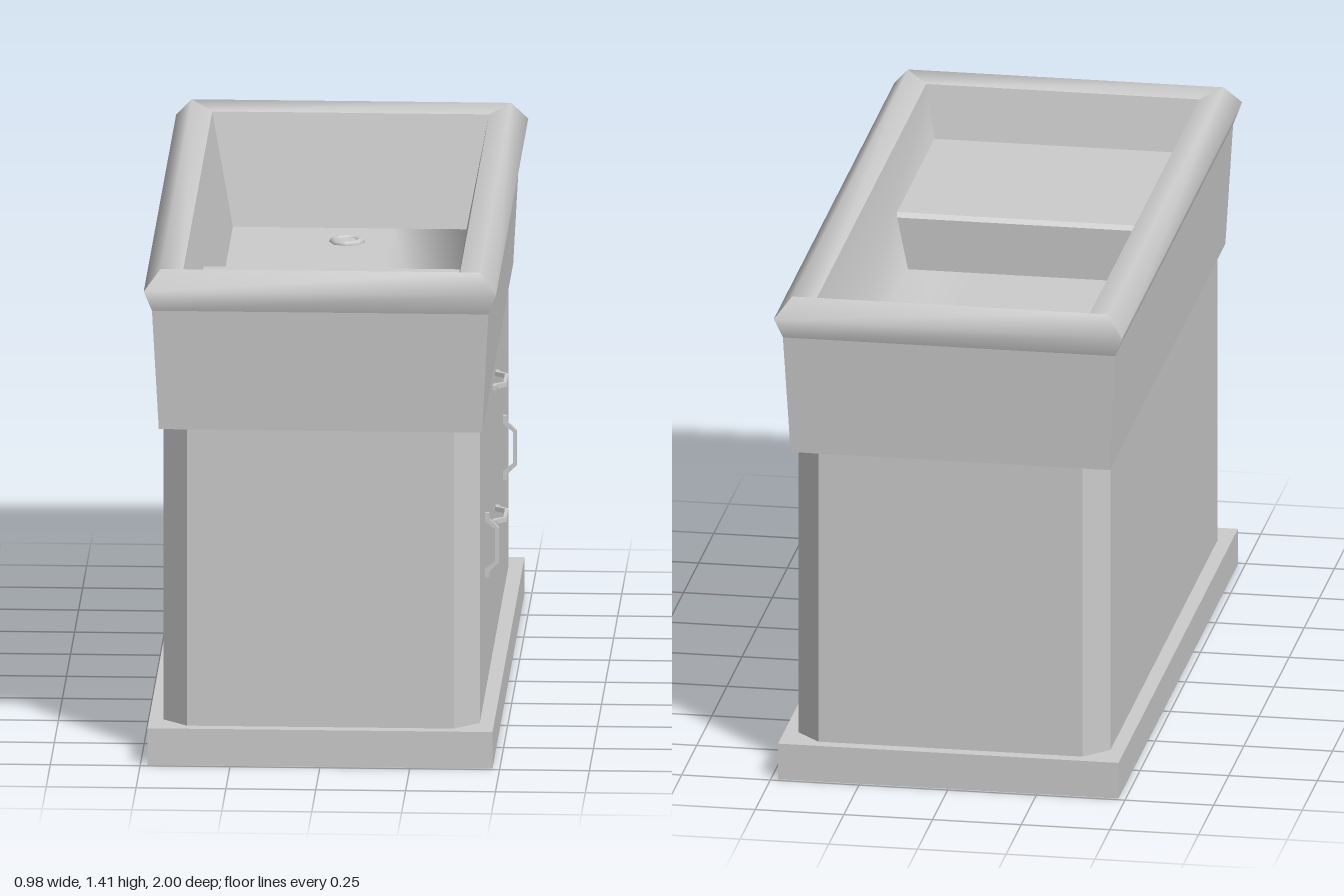
import * as THREE from 'three';
import { mergeGeometries } from 'three/addons/utils/BufferGeometryUtils.js';

const material = new THREE.MeshStandardMaterial({ color: 0xcccccc, side: THREE.DoubleSide });

// Smooth strip of quads between two polylines of [x, y, z] points
function strip(a, b) {
  const pos = [], index = [];
  a.forEach((p, i) => {
    pos.push(...p, ...b[i]);
    if (i) {
      const k = 2 * i - 2;
      index.push(k, k + 1, k + 3, k, k + 3, k + 2);
    }
  });
  const g = new THREE.BufferGeometry();
  g.setAttribute('position', new THREE.Float32BufferAttribute(pos, 3));
  g.setIndex(index);
  g.computeVertexNormals();
  return g;
}

// Mitred rectangular frame: profile of [halfX, halfZ, y], running up the outside and down the inside
const corners = [[-1, 1], [1, 1], [1, -1], [-1, -1]];
function frame(profile, sides = [0, 1, 2, 3]) {
  const line = ([sx, sz]) => profile.map(([x, z, y]) => [sx * x, y, sz * z]);
  return mergeGeometries(sides.map((i) => strip(line(corners[i]), line(corners[(i + 1) % 4]))));
}

export function createModel() {
  const model = new THREE.Group();
  const add = (name, geometry, parent = model) => {
    const mesh = new THREE.Mesh(geometry, material);
    mesh.name = name;
    parent.add(mesh);
    return mesh;
  };

  // Plinth, open underneath
  add('plinth', mergeGeometries([
    frame([[0.48, 0.99, 0], [0.48, 0.99, 0.105]]),
    frame([[0.48, 0.99, 0.105], [0, 0, 0.105]]),
  ]));

  // Cabinet with chamfered corners
  const X = 0.44, Z = 0.955, c = 0.068;
  const plan = new THREE.Shape([
    [X, Z - c], [X - c, Z], [c - X, Z], [-X, Z - c],
    [-X, c - Z], [c - X, -Z], [X - c, -Z], [X, c - Z],
  ].map(([x, z]) => new THREE.Vector2(x, z)));
  const body = new THREE.ExtrudeGeometry(plan, { depth: 0.85, bevelEnabled: false });
  body.rotateX(-Math.PI / 2);
  body.translate(0, 0.105, 0);
  add('cabinet', body);

  // Flared tub skirt with its underside
  add('tubSkirt', mergeGeometries([
    frame([[0, 0, 0.955], [0.45, 0.957, 0.955]]),
    frame([[0.45, 0.957, 0.955], [0.468, 0.98, 1.3]]),
  ]));

  // Rounded rim
  add('rim', frame([
    [0.468, 0.98, 1.3], [0.49, 1.0, 1.36], [0.445, 0.96, 1.415], [0.385, 0.905, 1.395],
  ]));

  // Basin: three crisp walls, the fourth blends into the floor
  const top = 1.395, floorY = 1.08;
  add('basinWalls', frame([[0.385, 0.905, top], [0.325, 0.845, floorY]], [0, 2, 3]));
  const section = [[0.385, top, 0.905], [0.325, floorY, 0.845], [0.12, floorY, 0.845], [-0.325, floorY, 0.845]];
  add('basinFloor', strip(section, section.map(([x, y, z]) => [x, y, -z])));

  // Raised seat at the front end, as wide as the sloping basin
  const seatY = 1.245;
  const seat = [[floorY, 0.252], [seatY - 0.012, 0.245], [seatY, 0.257], [seatY, 0.878]];
  const edge = (s) => ([y, z]) => [s * (0.325 + 0.06 * (y - floorY) / (top - floorY)), y, z];
  add('seat', mergeGeometries([0, 1, 2].map((i) => {
    const pair = seat.slice(i, i + 2);
    return strip(pair.map(edge(1)), pair.map(edge(-1)));
  })));

  // Drain
  const drain = new THREE.Group();
  drain.name = 'drain';
  drain.position.set(0, floorY, -0.69);
  const ring = new THREE.TorusGeometry(0.038, 0.012, 8, 8);
  ring.rotateX(Math.PI / 2);
  add('drainRing', ring, drain);
  add('drainPlug', new THREE.CylinderGeometry(0.028, 0.028, 0.01, 12), drain);
  model.add(drain);

  // Pulls: flat feet, angled legs and a straight grip
  const half = [[0.092, 0], [0.092, 0.011], [0.074, 0.013], [0.05, 0.038]];
  const inner = [[0.046, 0.028], [0.068, 0.0]];
  const flip = (pts) => pts.map(([u, v]) => [-u, v]).reverse();
  const outline = [...half, ...flip(half), ...flip(inner), ...inner];
  const pull = new THREE.ExtrudeGeometry(
    new THREE.Shape(outline.map(([u, v]) => new THREE.Vector2(v, u))),
    { depth: 0.013, bevelEnabled: false },
  );
  pull.translate(0, 0, -0.0065);
  [
    ['upperDrawerPull', 0.865, 0.005, true],
    ['lowerDrawerPull', 0.478, 0.005, true],
    ['frontDoorPull', 0.53, 0.548, false],
    ['backDoorPull', 0.53, -0.553, false],
  ].forEach(([name, y, z, level]) => {
    const mesh = add(name, pull);
    mesh.position.set(X, y, z);
    if (level) mesh.rotation.x = Math.PI / 2;
  });

  return model;
}
